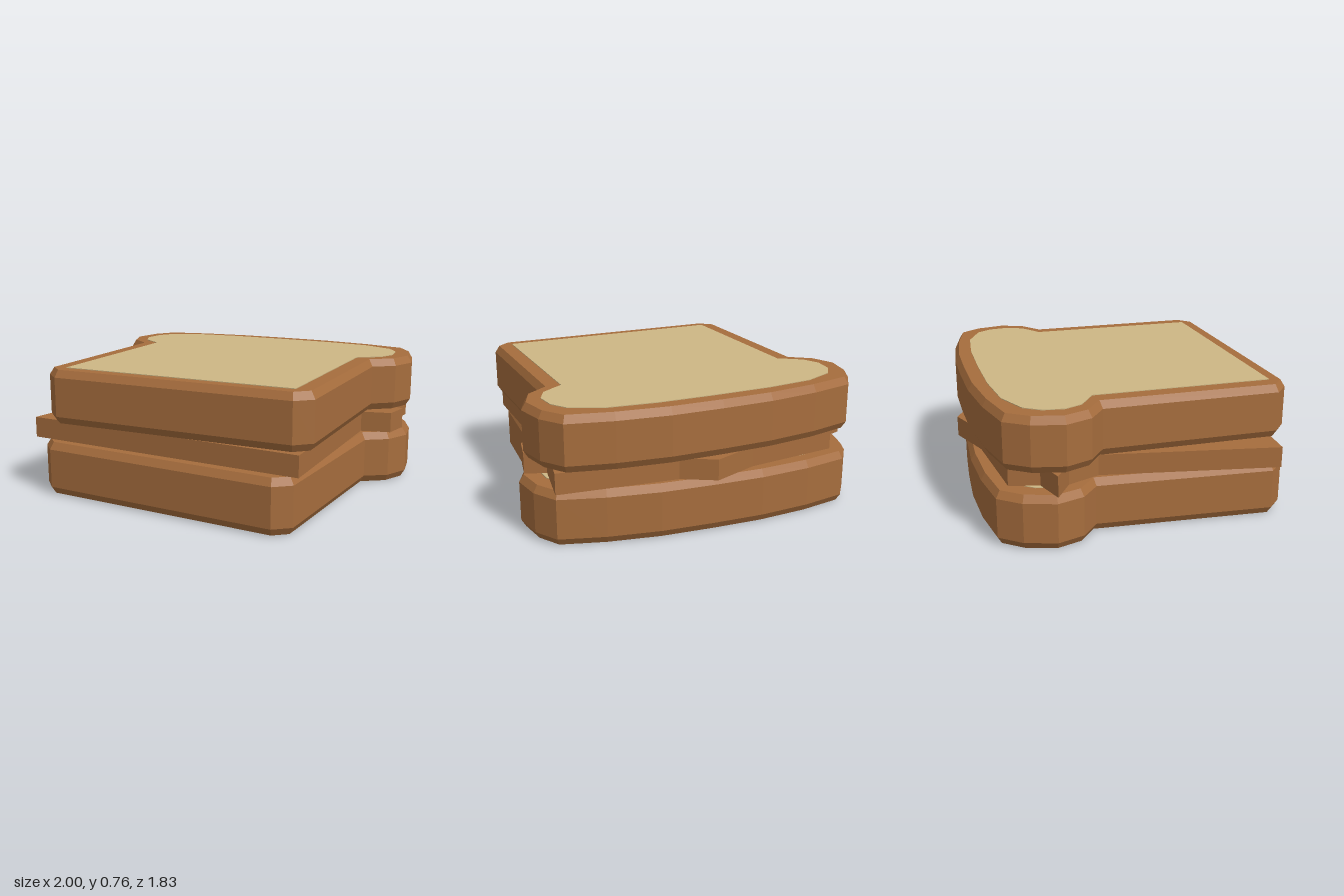
import * as THREE from 'three';

const crust = new THREE.MeshStandardMaterial({ color: 0xa66d3d });
crust.name = 'crust brown';
const crumb = new THREE.MeshStandardMaterial({ color: 0xcdb785 });
crumb.name = 'crumb cream';

// Half outlines as [x, z], from the front corner round to the middle of the back
const crustHalf = [
  [0.72, 0.88], [0.81, 0.80], [0.81, -0.22], [0.93, -0.31], [0.99, -0.46],
  [0.95, -0.64], [0.86, -0.77], [0.60, -0.83], [0.30, -0.865], [0, -0.87],
];
const crumbHalf = [
  [0.70, 0.79], [0.70, -0.25], [0.76, -0.29], [0.83, -0.34], [0.875, -0.44],
  [0.86, -0.56], [0.80, -0.65], [0.62, -0.73], [0.34, -0.76], [0, -0.765],
];

// Full ragged outline of the filling
const fillingOutline = [
  [0.85, 0.81], [0.78, -0.25], [0.95, -0.30], [0.97, -0.46], [0.85, -0.50],
  [0.88, -0.81], [0.20, -0.83], [0.01, -0.92], [-0.25, -0.80], [-0.80, -0.70],
  [-0.83, -0.53], [-1.0, -0.46], [-0.85, -0.38], [-0.76, -0.20], [-0.86, 0.82],
];

const mirror = (half) => [
  ...half,
  ...half.slice(0, -1).reverse().map(([x, z]) => [-x, z]),
];

// Flat slab standing on y = 0, with an optional chamfer within its outline
function slab(outline, height, inset = 0, rise = 0) {
  const shape = new THREE.Shape(outline.map(([x, z]) => new THREE.Vector2(x, -z)));
  const geometry = new THREE.ExtrudeGeometry(shape, {
    depth: height - 2 * rise,
    bevelEnabled: inset > 0,
    bevelSize: inset,
    bevelOffset: -inset,
    bevelThickness: rise,
    bevelSegments: 1,
  });
  geometry.rotateX(-Math.PI / 2);
  geometry.translate(0, rise, 0);
  return geometry;
}

function part(name, geometry, material, y = 0) {
  const mesh = new THREE.Mesh(geometry, material);
  mesh.name = name;
  mesh.position.y = y;
  return mesh;
}

// Chamfered slice of bread with a pale face on each side
function breadSlice(name) {
  const skin = 0.004;
  const height = 0.32;
  const group = new THREE.Group();
  group.name = name;
  const face = slab(mirror(crumbHalf), skin);
  group.add(
    part('crustBody', slab(mirror(crustHalf), height - 2 * skin, 0.025, 0.042), crust, skin),
    part('lowerCrumb', face, crumb, 0),
    part('upperCrumb', face, crumb, height - skin),
  );
  return group;
}

export function createModel() {
  const model = new THREE.Group();
  model.name = 'sandwich';

  const bottom = breadSlice('bottomSlice');
  bottom.position.x = 0.01;

  const filling = part('filling', slab(fillingOutline, 0.12), crust, 0.32);

  // Top slice sits slightly askew
  const top = breadSlice('topSlice');
  top.position.set(0.03, 0.44, -0.02);
  top.rotation.y = 0.07;

  model.add(bottom, filling, top);
  return model;
}
